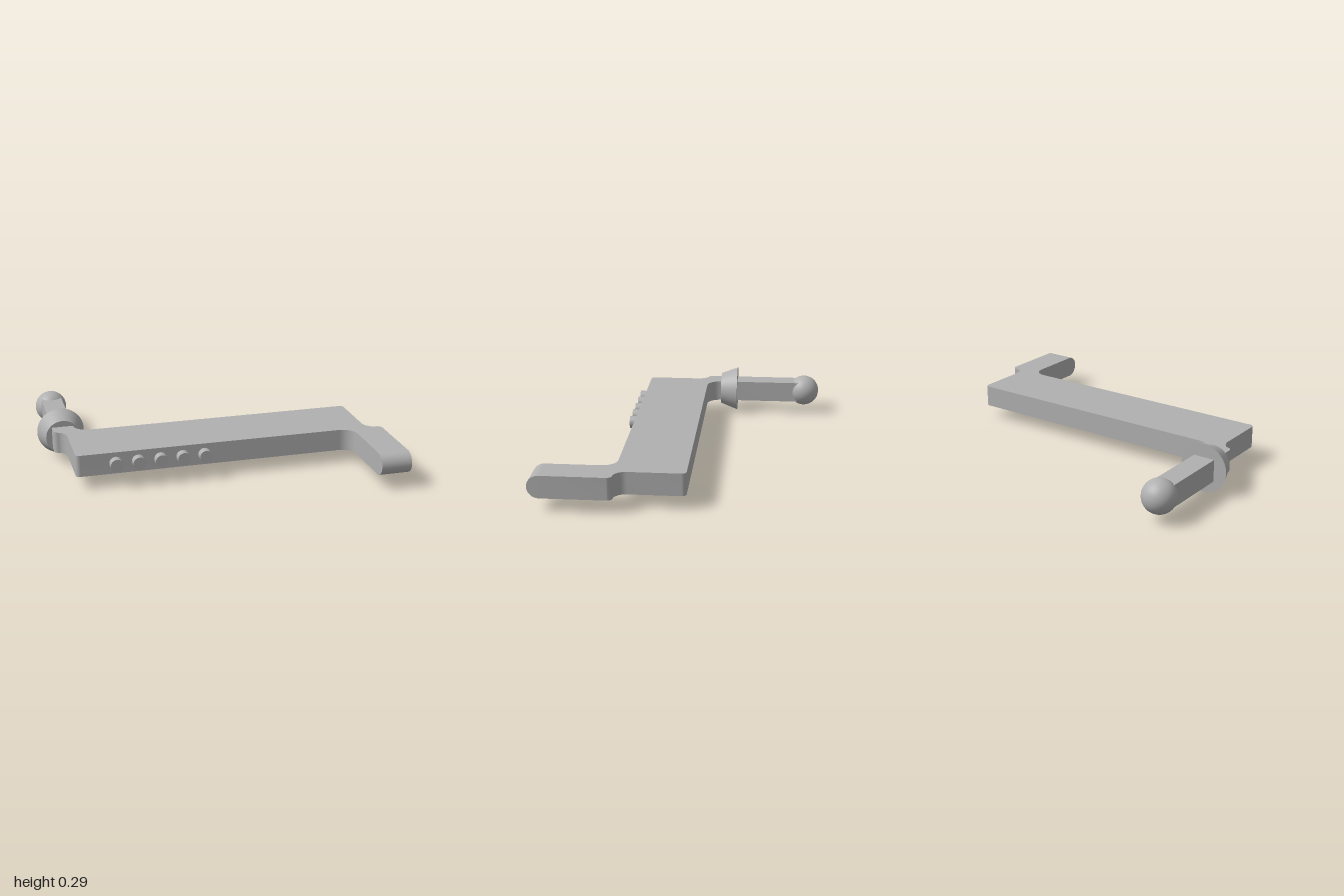
import * as THREE from 'three';
import { toCreasedNormals } from 'three/addons/utils/BufferGeometryUtils.js';

export function createModel() {
  const group = new THREE.Group();
  const grey = new THREE.MeshStandardMaterial({ color: 0xb0b0b0 });
  const midY = 0.146, thick = 0.13, armX = -0.86;

  function add(name, geometry, x = 0, y = 0, z = 0) {
    const mesh = new THREE.Mesh(geometry, grey);
    mesh.name = name;
    mesh.position.set(x, y, z);
    group.add(mesh);
  }

  // Z-shaped plate: each point is [x, z], or [x, z, cornerX, cornerZ] for a rounded corner
  const outline = [
    [-0.925, -0.66], [-0.925, -0.08],
    [-0.9, -0.052, -0.925, -0.058],
    [-0.855, 0.025, -0.855, -0.042],
    [-0.855, 0.31], [-0.83, 0.335, -0.855, 0.335],
    [0.735, 0.335], [0.818, 0.42, 0.818, 0.335],
    [0.818, 0.73], [1, 0.73],
    [1, 0.365], [0.97, 0.335, 1, 0.335],
    [0.905, 0.265, 0.905, 0.335],
    [0.905, -0.03], [0.88, -0.055, 0.905, -0.055],
    [-0.71, -0.055], [-0.797, -0.14, -0.797, -0.055],
    [-0.797, -0.66],
  ];
  const shape = new THREE.Shape();
  const k = 0.552;
  let [px, pz] = outline[0];
  shape.moveTo(px, -pz);
  for (const [x, z, cx, cz] of outline.slice(1)) {
    if (cx === undefined) shape.lineTo(x, -z);
    else shape.bezierCurveTo(
      px + (cx - px) * k, -(pz + (cz - pz) * k),
      x + (cx - x) * k, -(z + (cz - z) * k), x, -z);
    [px, pz] = [x, z];
  }
  shape.closePath();
  const plate = new THREE.ExtrudeGeometry(shape, { depth: thick, bevelEnabled: false, curveSegments: 10 });
  plate.rotateX(-Math.PI / 2);
  add('plate', toCreasedNormals(plate, 0.6), 0, midY - thick / 2, 0);

  // Rounded end of the front arm
  const tip = new THREE.CylinderGeometry(thick / 2, thick / 2, 0.182, 24, 1, false, -Math.PI / 2, Math.PI);
  tip.rotateZ(Math.PI / 2);
  add('frontArmTip', tip, 0.909, midY, 0.73);

  // Flared collar and ball on the rear arm
  const collar = new THREE.CylinderGeometry(0.102, 0.143, 0.108, 48);
  collar.rotateX(Math.PI / 2);
  add('collar', collar, armX, midY, -0.197);
  add('ball', new THREE.SphereGeometry(0.098, 40, 28), armX, midY, -0.7);

  // Row of pegs along the front edge
  for (let i = 0; i < 5; i++) {
    const peg = new THREE.CylinderGeometry(0.038, 0.038, 0.055, 28);
    peg.rotateX(Math.PI / 2);
    add('peg' + (i + 1), peg, -0.625 + i * 0.131, midY, 0.3555);
  }
  return group;
}
